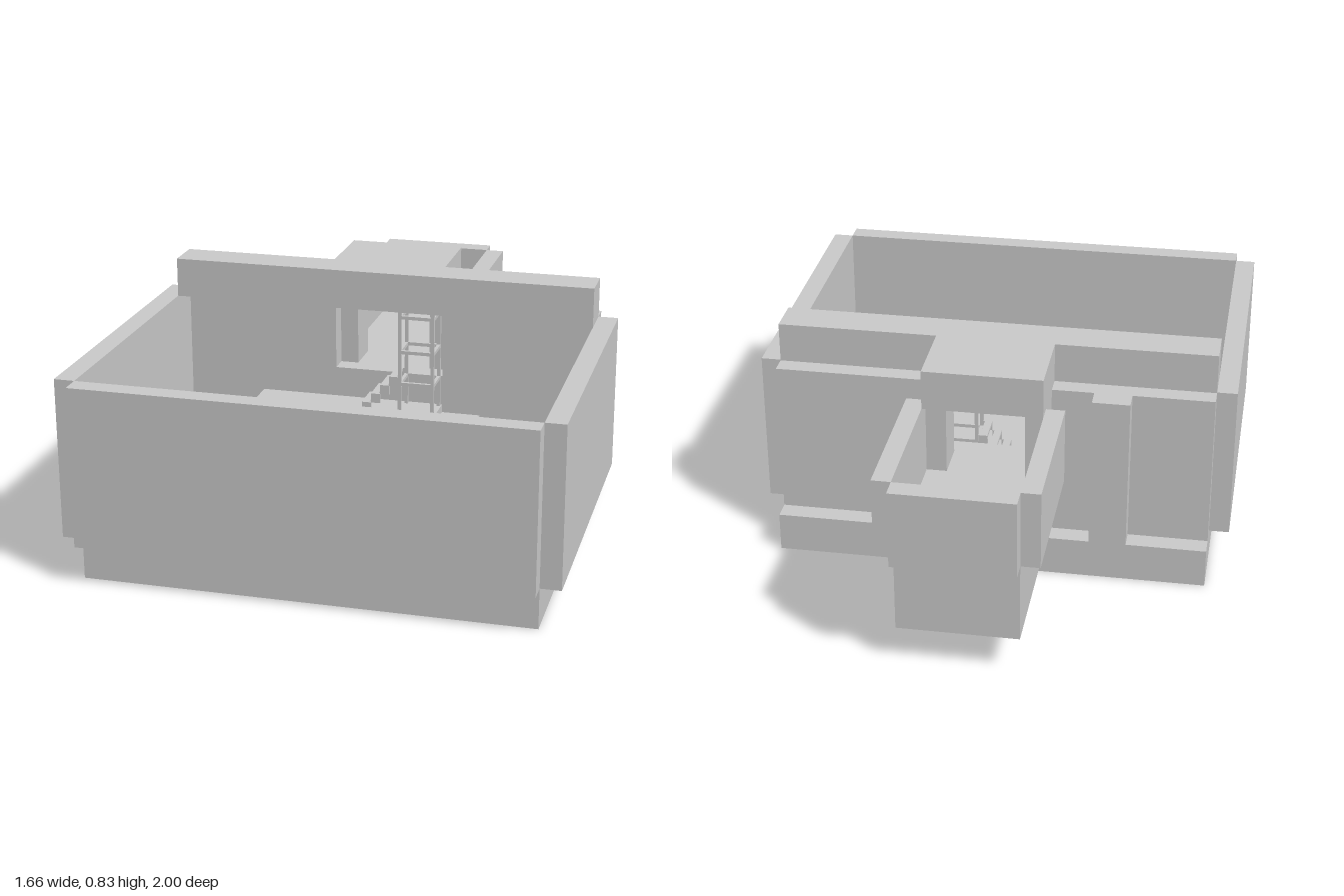
import * as THREE from 'three';

export function createModel() {
  const model = new THREE.Group();
  const material = new THREE.MeshStandardMaterial({ color: 0xcccccc, flatShading: true });

  // Box given by its minimum and maximum along each axis
  function box(name, x0, x1, y0, y1, z0, z1, parent = model) {
    const mesh = new THREE.Mesh(new THREE.BoxGeometry(x1 - x0, y1 - y0, z1 - z0), material);
    mesh.position.set((x0 + x1) / 2, (y0 + y1) / 2, (z0 + z1) / 2);
    mesh.name = name;
    parent.add(mesh);
    return mesh;
  }
  function group(name) {
    const g = new THREE.Group();
    g.name = name;
    model.add(g);
    return g;
  }

  const floor = 0.14, wallTop = 0.69, roofTop = 0.83, deck = 0.31, annexFloor = 0.42;

  // Base and outer walls
  box('base', -0.76, 0.76, 0, floor, -0.31, 0.93);
  box('frontWall', -0.76, 0.76, floor, wallTop, 0.93, 1.0);
  for (const s of [-1, 1]) {
    const x = s * 0.795;
    box('sideWall', x - 0.035, x + 0.035, floor, wallTop, -0.17, 0.93);
  }

  // Back wall with an opening above the annex floor, and a pilaster
  box('backWall', -0.76, -0.2, floor, wallTop, -0.24, -0.17);
  box('backWall', 0.2, 0.76, floor, wallTop, -0.24, -0.17);
  box('threshold', -0.2, 0.2, floor, annexFloor, -0.24, -0.17);
  box('pilaster', -0.48, -0.35, floor, wallTop, -0.31, -0.24);

  // T-shaped roof
  const roof = new THREE.Shape();
  [[-0.76, 0.04], [-0.76, 0.175], [-0.205, 0.175], [-0.205, 0.445], [0.205, 0.445],
    [0.205, 0.175], [0.76, 0.175], [0.76, 0.04]].forEach(([x, y], i) =>
    i ? roof.lineTo(x, y) : roof.moveTo(x, y));
  const roofGeometry = new THREE.ExtrudeGeometry(roof, { depth: roofTop - wallTop, bevelEnabled: false });
  roofGeometry.rotateX(-Math.PI / 2);
  const roofMesh = new THREE.Mesh(roofGeometry, material);
  roofMesh.position.y = wallTop;
  roofMesh.name = 'roof';
  model.add(roofMesh);

  // Annex behind the main room
  const annex = group('annex');
  box('annexFloor', -0.205, 0.205, floor, annexFloor, -0.93, -0.24, annex);
  box('annexBackWall', -0.205, 0.205, annexFloor, wallTop, -1.0, -0.93, annex);
  for (const s of [-1, 1]) {
    const x = s * 0.2375, p = s * 0.17;
    box('annexSideWall', x - 0.0325, x + 0.0325, annexFloor, wallTop, -0.93, -0.38, annex);
    box('passageWall', p - 0.035, p + 0.035, annexFloor, wallTop, -0.38, -0.24, annex);
  }

  // Raised deck on legs
  const platform = group('platform');
  const slab = deck - 0.03;
  box('deckBack', -0.48, 0.2, slab, deck, -0.17, 0.1, platform);
  box('deckMiddle', -0.2, 0.2, slab, deck, 0.1, 0.37, platform);
  box('deckFront', -0.2, -0.07, slab, deck, 0.37, 0.51, platform);
  for (const [x, z] of [[-0.34, 0.05], [-0.17, 0.48], [0.17, 0.34], [-0.1, 0.48]]) {
    box('deckLeg', x - 0.015, x + 0.015, floor, slab, z - 0.015, z + 0.015, platform);
  }
  box('lowBlock', -0.2, -0.07, floor, 0.28, 0.51, 0.65, platform);
  box('highBlock', -0.07, 0.06, floor, annexFloor, 0.37, 0.51, platform);

  // Side walkway with open steps down to the floor
  const walkway = group('walkway');
  box('walkwaySlab', 0.2, 0.34, 0.25, 0.28, -0.17, 0.38, walkway);
  for (let i = 0; i < 4; i++) {
    const z = 0.39 + i * 0.035, y = 0.25 - i * 0.028;
    box('walkwayStep', 0.22, 0.325, y - 0.01, y, z, z + 0.02, walkway);
    for (const x of [0.2, 0.325]) box('stepRail', x, x + 0.015, floor, y, z - 0.01, z + 0.025, walkway);
  }

  // Open frame tower under the roof beam
  const tower = group('tower');
  const bar = 0.006;
  for (const x of [0.07, 0.19]) {
    for (const z of [-0.155, -0.05]) {
      box('towerPost', x - bar, x + bar, deck, wallTop, z - bar, z + bar, tower);
    }
  }
  for (const y of [0.42, 0.54, 0.67]) {
    for (const z of [-0.155, -0.05]) box('towerBar', 0.07, 0.19, y - bar, y + bar, z - bar, z + bar, tower);
    for (const x of [0.07, 0.19]) box('towerBar', x - bar, x + bar, y - bar, y + bar, -0.155, -0.05, tower);
  }

  // Open stair rising towards the tower
  const stair = group('stair');
  for (let i = 0; i < 4; i++) {
    const x = -0.07 + i * 0.034, y = deck + 0.03 + i * 0.035;
    box('stairTread', x, x + 0.026, y - 0.01, y, -0.155, -0.05, stair);
    for (const z of [-0.16, -0.055]) box('stairRail', x, x + 0.034, y - 0.035, y, z, z + 0.01, stair);
  }

  return model;
}
